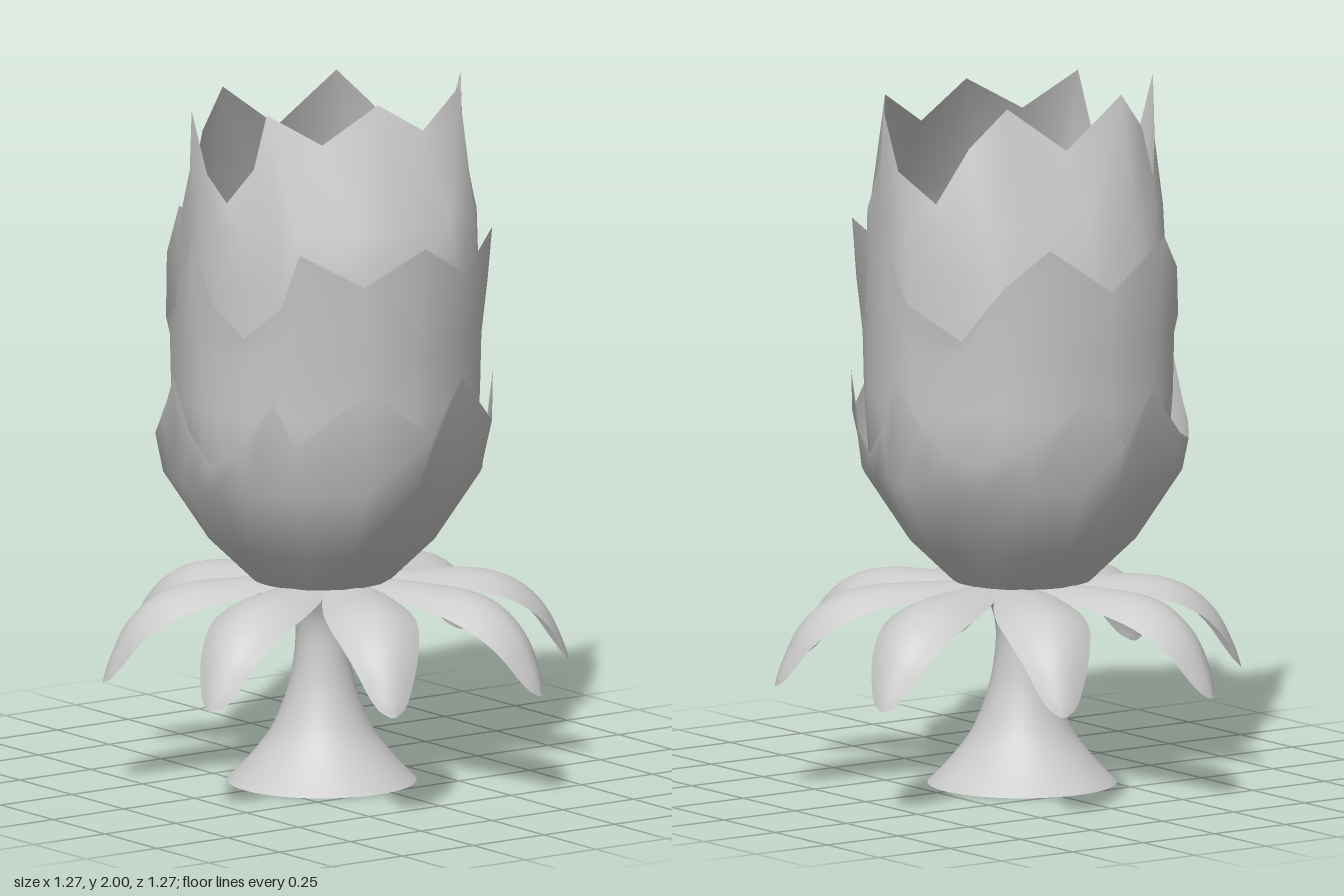
import * as THREE from 'three';

const material = new THREE.MeshStandardMaterial({ color: 0xcccccc, side: THREE.DoubleSide });

// Smooth sheet of rows x cols points; closed sheets join the last column to the first.
function sheet(rows, cols, closed, point) {
  const pos = [], index = [];
  for (let r = 0; r < rows; r++)
    for (let c = 0; c < cols; c++) pos.push(...point(r, c));
  for (let r = 0; r < rows - 1; r++)
    for (let c = 0; c < (closed ? cols : cols - 1); c++) {
      const d = (c + 1) % cols;
      const a = r * cols + c, b = r * cols + d, e = a + cols, f = b + cols;
      index.push(a, e, b, b, e, f);
    }
  const g = new THREE.BufferGeometry();
  g.setAttribute('position', new THREE.Float32BufferAttribute(pos, 3));
  g.setIndex(index);
  g.computeVertexNormals();
  return g;
}

function addMesh(group, name, geometry) {
  const m = new THREE.Mesh(geometry, material);
  m.name = name;
  group.add(m);
  return m;
}

// Full rim from its 0 to 180 degree half, mirrored front to back
const mirrorRim = (half) => [
  ...half, ...half.slice(1, -1).map(([d, r, y]) => [360 - d, r, y]).reverse(),
];

// Jagged bowl: profile rows [radius, y], then a rim of [degrees, radius, y] corners.
// squeeze(row, x) narrows the bowl across x.
function jaggedBowl(profile, rim, squeeze = () => 1) {
  return sheet(profile.length + 1, rim.length, true, (r, c) => {
    const [deg, rimR, rimY] = rim[c];
    const a = THREE.MathUtils.degToRad(deg);
    const [rad, y] = r < profile.length ? profile[r] : [rimR, rimY];
    const x = Math.cos(a) * rad;
    return [x * squeeze(r, x), y, Math.sin(a) * rad];
  });
}

// Seven points with uneven notches, shared by the two upper layers
const crown = (top) => mirrorRim([
  [0, 0.48, 0], [22.5, 0.465, 0.1], [45, 0.48, 0], [52, 0.462, 0.16], [67, 0.455, 0.26],
  [80, 0.458, 0.18], [90, 0.475, 0], [100, 0.458, 0.18], [123, 0.455, 0.27],
  [139, 0.463, 0.11], [155, 0.475, 0], [180, 0.455, 0.14],
].map(([deg, r, drop]) => [deg, r, top - drop]));

export function createModel() {
  const group = new THREE.Group();

  // Flared hollow foot and stem
  const stemCurve = new THREE.SplineCurve([
    [0.27, 0], [0.2, 0.075], [0.14, 0.16], [0.095, 0.28], [0.076, 0.4], [0.08, 0.48],
    [0.104, 0.545], [0.105, 0.588],
  ].map(([x, y]) => new THREE.Vector2(x, y)));
  addMesh(group, 'stem', new THREE.LatheGeometry(stemCurve.getPoints(32), 48)).position.z = 0.05;

  // Drooping leaves around the stem: [radius, y, half width] along each leaf
  const spine = new THREE.CatmullRomCurve3([
    [0.06, 0.588, 0.026], [0.2, 0.592, 0.083], [0.3, 0.592, 0.112], [0.4, 0.588, 0.128],
    [0.48, 0.572, 0.127], [0.55, 0.535, 0.112], [0.61, 0.475, 0.089], [0.65, 0.4, 0.062],
    [0.672, 0.345, 0.037], [0.682, 0.31, 0.008],
  ].map((p) => new THREE.Vector3(...p)));
  const spinePoints = spine.getPoints(27);
  const leaf = sheet(28, 9, false, (r, c) => {
    const v = c / 4 - 1, p = spinePoints[r];
    const droop = 0.05 * v * v * Math.sin(Math.PI * r / 27);
    return [p.x - droop * 0.3, p.y - droop, -p.z * v];
  });
  const leaves = new THREE.Group();
  leaves.name = 'leaves';
  for (let i = 0; i < 8; i++)
    addMesh(leaves, 'leaf', leaf).rotation.y = (i + 0.5) * Math.PI / 4;
  group.add(leaves);

  // Cup floor
  const floor = addMesh(group, 'cupFloor', new THREE.CircleGeometry(0.195, 14));
  floor.rotation.x = -Math.PI / 2;
  floor.position.set(0, 0.596, 0.045);

  // Lower petal layer, a bowl with eight points
  const lowerRim = mirrorRim([
    [0, 0.535, 1.08], [20, 0.48, 1.225], [45, 0.49, 1.06], [53, 0.487, 1.19], [65, 0.48, 1.04],
    [78, 0.475, 0.985], [88, 0.48, 1.07], [96, 0.49, 1.22], [107, 0.48, 1.09],
    [118, 0.477, 1.03], [130, 0.475, 1.0], [147, 0.482, 1.04], [167, 0.492, 1.19],
    [180, 0.495, 1.05],
  ]);
  addMesh(group, 'lowerPetals',
    jaggedBowl([[0.2, 0.59], [0.325, 0.71], [0.457, 0.91]], lowerRim)).position.z = 0.05;

  // Middle petal layer
  const wall = [[0.195, 0.597], [0.315, 0.72], [0.425, 0.92], [0.44, 1.13], [0.444, 1.3]];
  addMesh(group, 'middlePetals', jaggedBowl(wall, crown(1.62))).position.z = 0.037;

  // Upper petal layer, pinched together from both sides at the top
  const innerWall = [...wall.map(([r, y]) => [r * 0.985, y]), [0.44, 1.5], [0.445, 1.66]];
  const right = [1, 1, 1, 1, 1, 0.96, 0.9, 0.52];
  const left = [1, 1, 1, 1, 0.97, 0.87, 0.78, 0.52];
  addMesh(group, 'upperPetals',
    jaggedBowl(innerWall, crown(2), (r, x) => (x > 0 ? right : left)[r])).position.z = 0.035;

  return group;
}
